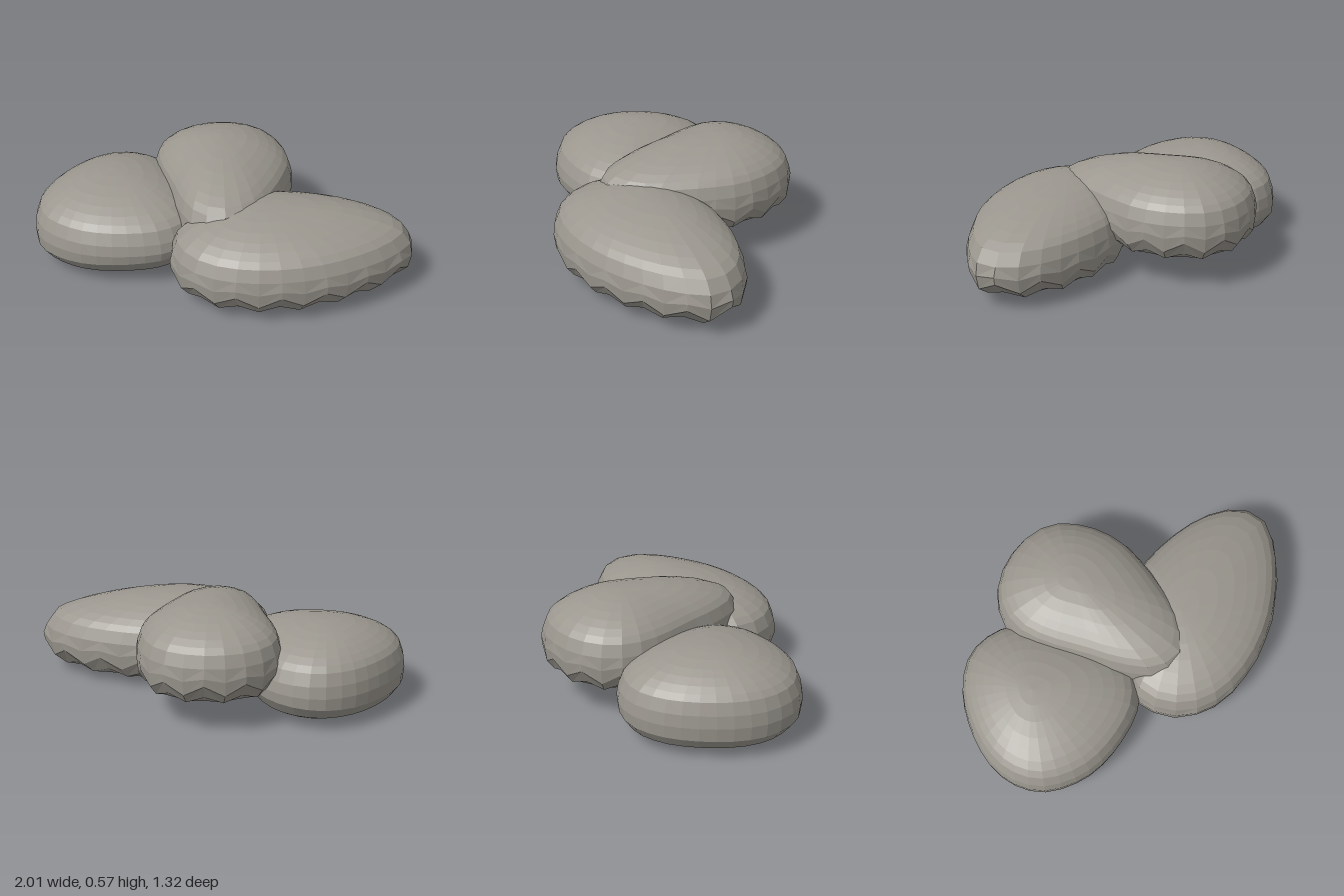
import * as THREE from 'three';

// Pebble profile from bottom to top: [radius share, height share, rim weight]
const PROFILE = [
  [0, 0, 0], [0.25, 0.01, 0], [0.47, 0.035, 0], [0.65, 0.065, 0], [0.78, 0.1, 0.15],
  [0.89, 0.155, 0.6], [0.985, 0.29, 1], [1, 0.42, 0.35], [0.98, 0.55, 0], [0.925, 0.69, 0],
  [0.86, 0.755, 0], [0.77, 0.815, 0], [0.66, 0.87, 0], [0.53, 0.92, 0], [0.36, 0.965, 0],
  [0.18, 0.99, 0], [0, 1, 0],
];

// Outlines are [x, z] loops running left, back, right, front.
const STONES = [
  {
    name: 'smoothStone', pole: [-0.62, 0.08], base: 0, height: 0.45, segments: 34, rough: 0, tilt: 0.05,
    outline: [[-1, 0.2], [-0.97, -0.02], [-0.88, -0.22], [-0.75, -0.34], [-0.6, -0.37], [-0.45, -0.33],
      [-0.28, -0.18], [-0.15, 0.03], [-0.1, 0.25], [-0.18, 0.41], [-0.38, 0.52], [-0.62, 0.56],
      [-0.85, 0.49], [-0.96, 0.36]],
  },
  {
    name: 'frontStone', pole: [0.25, 0.2], base: 0, height: 0.45, segments: 28, rough: 0.028, tilt: 0,
    outline: [[-0.18, 0.38], [-0.1, 0.15], [0.05, -0.05], [0.28, -0.19], [0.5, -0.235], [0.7, -0.235],
      [0.87, -0.19], [0.98, -0.1], [1.01, 0], [0.96, 0.14], [0.85, 0.3], [0.65, 0.49], [0.4, 0.62],
      [0.17, 0.66], [0, 0.62], [-0.13, 0.51]],
  },
  {
    name: 'topStone', pole: [-0.12, -0.25], base: 0.12, height: 0.45, segments: 28, rough: 0.028, tilt: 0,
    outline: [[-0.5, -0.22], [-0.505, -0.38], [-0.42, -0.53], [-0.28, -0.625], [-0.1, -0.665], [0.05, -0.625],
      [0.18, -0.5], [0.265, -0.33], [0.285, -0.15], [0.28, 0.04], [0.25, 0.26], [0.14, 0.41],
      [-0.02, 0.41], [-0.17, 0.28], [-0.29, 0.11], [-0.41, -0.05]],
  },
];

// Shrinks the outline towards the pole ring by ring, with a chipped zigzag rim.
function pebbleGeometry({ pole: [px, pz], base, height, segments, rough, tilt, outline }) {
  const curve = new THREE.CatmullRomCurve3(outline.map(([x, z]) => new THREE.Vector3(x, 0, z)), true);
  const rim = curve.getSpacedPoints(segments).slice(0, segments);
  const positions = [];
  const index = [];
  const last = PROFILE.length - 1;

  PROFILE.forEach(([r, h, w], j) => {
    rim.forEach((p, i) => {
      const zig = (i % 2 ? 1 : -1) * rough * w;
      const radius = r * (1 + zig * 0.4);
      const x = px + (p.x - px) * radius;
      const z = pz + (p.z - pz) * radius;
      positions.push(x, base + h * height + zig + tilt * (x - px) * w, z);
      if (j === last) return;
      const a = j * segments + i;
      const b = j * segments + (i + 1) % segments;
      const c = a + segments;
      const d = b + segments;
      if (j === 0) index.push(b, c, d);
      else if (j === last - 1) index.push(b, a, c);
      // Alternate diagonals so that neighbouring facets mirror each other
      else if (i % 2) index.push(b, a, c, b, c, d);
      else index.push(b, a, d, a, c, d);
    });
  });

  const geometry = new THREE.BufferGeometry();
  geometry.setAttribute('position', new THREE.Float32BufferAttribute(positions, 3));
  geometry.setIndex(index);
  geometry.computeVertexNormals();
  return geometry;
}

export function createModel() {
  const group = new THREE.Group();
  group.name = 'stonePile';
  const stone = new THREE.MeshStandardMaterial({ color: 0x9b978f, flatShading: true });
  stone.name = 'warm grey stone';

  for (const spec of STONES) {
    const mesh = new THREE.Mesh(pebbleGeometry(spec), stone);
    mesh.name = spec.name;
    group.add(mesh);
  }
  return group;
}
